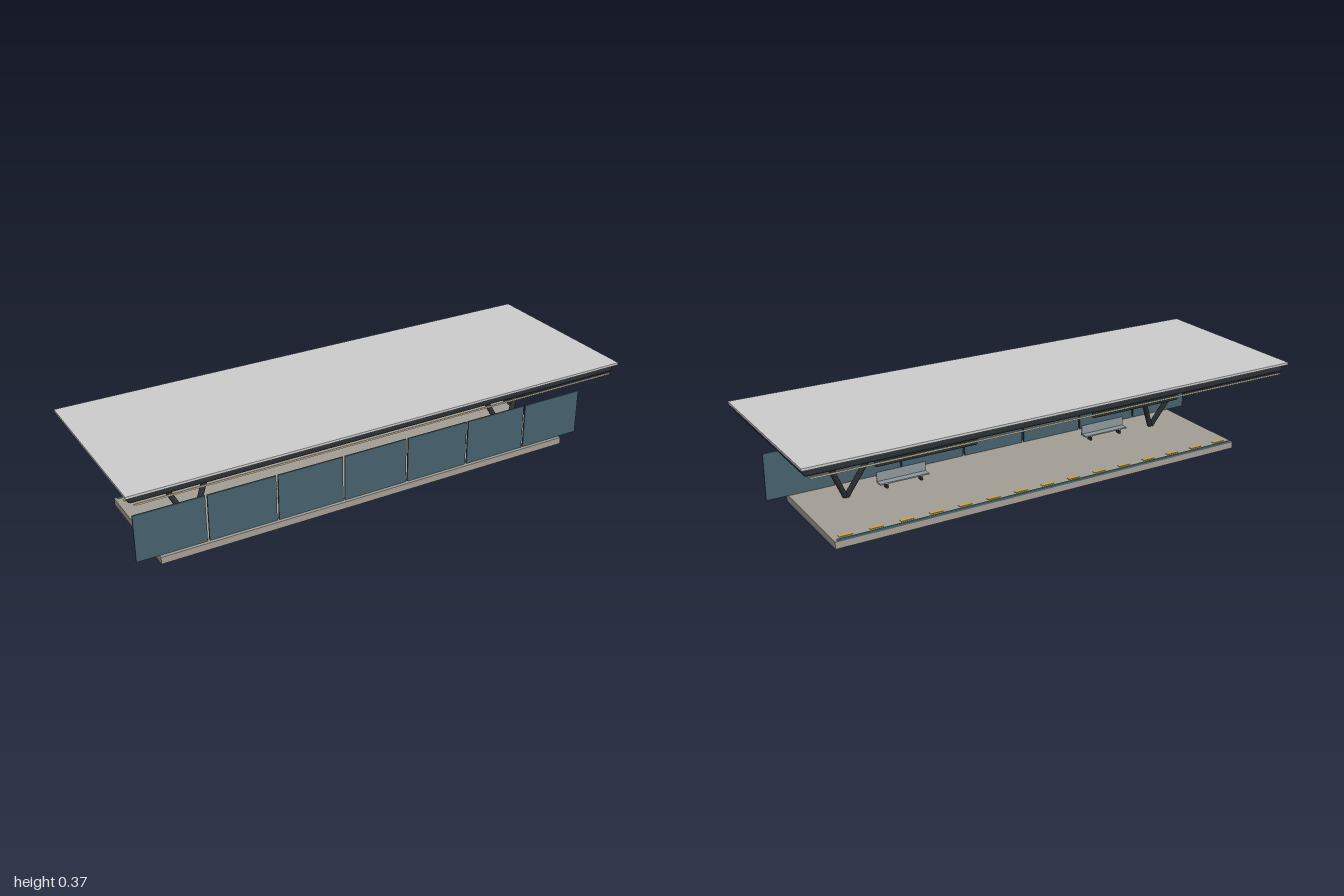
import * as THREE from 'three';
import { RoundedBoxGeometry } from 'three/addons/geometries/RoundedBoxGeometry.js';

const mat = (color) => new THREE.MeshStandardMaterial({ color });

export function createModel() {
  const model = new THREE.Group();
  const concrete = mat(0xa39d94), dark = mat(0x2b3033), roofGrey = mat(0xbfc2c0);
  const glass = mat(0x45616c), steel = mat(0x8d979b), yellow = mat(0xd0a030);
  const teal = mat(0x3f93a0), warm = mat(0xe6d3b0), screenDark = mat(0x1c2c2e), cyan = mat(0x35b5b0);

  const add = (name, geometry, material, x, y, z, parent = model) => {
    const mesh = new THREE.Mesh(geometry, material);
    mesh.name = name;
    mesh.position.set(x, y, z);
    parent.add(mesh);
    return mesh;
  };
  // Box given by its size and centre
  const box = (name, material, [w, h, d], [x, y, z], parent) =>
    add(name, new THREE.BoxGeometry(w, h, d), material, x, y, z, parent);

  // Round bar between two points
  const bar = (name, material, from, to, radius) => {
    const a = new THREE.Vector3(...from), b = new THREE.Vector3(...to);
    const mid = a.clone().add(b).multiplyScalar(0.5);
    const mesh = add(name, new THREE.CylinderGeometry(radius, radius, a.distanceTo(b), 16), material, mid.x, mid.y, mid.z);
    mesh.quaternion.setFromUnitVectors(new THREE.Vector3(0, 1, 0), b.sub(a).normalize());
  };

  // Platform with its edge light and tactile markers along the back
  box('platform', concrete, [1.71, 0.027, 0.448], [0, 0.0135, 0]);
  box('platformEdgeLight', teal, [1.69, 0.004, 0.006], [0, 0.029, -0.215]);
  for (let i = -7; i <= 7; i++) {
    box('tactileMarker', yellow, [0.05, 0.002, 0.014], [i * 0.115, 0.028, -0.192]);
  }

  // Canopy: rounded soffit under a thin roof plate, with light strips
  add('canopyBody', new RoundedBoxGeometry(1.976, 0.032, 0.676, 4, 0.012), dark, 0, 0.349, 0);
  box('roofPlate', roofGrey, [2, 0.009, 0.7], [0, 0.3675, 0]);
  for (const side of [-1, 1]) {
    box('canopyLightStrip', warm, [1.94, 0.005, 0.005], [0, 0.3285, side * 0.338]);
  }

  // Row of seven windscreen panels along the front
  for (let i = -3; i <= 3; i++) {
    box('windscreenPanel', glass, [0.261, 0.181, 0.006], [i * 0.269, 0.1175, 0.2075]);
  }

  for (const side of [-1, 1]) {
    // Leaning V-shaped pair of columns
    for (const spread of [-1, 1]) {
      bar('column', dark, [side * 0.68, 0.024, 0.091], [side * 0.68 + spread * 0.155, 0.342, 0], 0.0105);
    }

    // Bench: seat, backrest and two legs
    const bench = new THREE.Group();
    bench.name = 'bench';
    bench.position.set(side * 0.45, 0, 0);
    model.add(bench);
    box('benchSeat', steel, [0.2, 0.005, 0.032], [0, 0.048, 0.092], bench);
    box('benchBackrest', steel, [0.2, 0.04, 0.004], [0, 0.067, 0.107], bench);
    for (const end of [-1, 1]) {
      box('benchLeg', dark, [0.008, 0.02, 0.02], [end * 0.07, 0.036, 0.09], bench);
    }

    // Information display facing the back, with plain indicator bars
    const display = new THREE.Group();
    display.name = 'display';
    display.position.set(side * 0.45, 0.245, -0.112);
    model.add(display);
    add('displayCase', new RoundedBoxGeometry(0.4, 0.066, 0.014, 3, 0.004), dark, 0, 0, 0, display);
    box('displayScreen', screenDark, [0.375, 0.05, 0.001], [0, 0, -0.0071], display);
    for (let i = -3; i <= 3; i++) {
      box('indicatorBar', cyan, [0.014, 0.006, 0.002], [i * 0.026, -0.004, -0.0085], display);
    }
  }
  return model;
}
